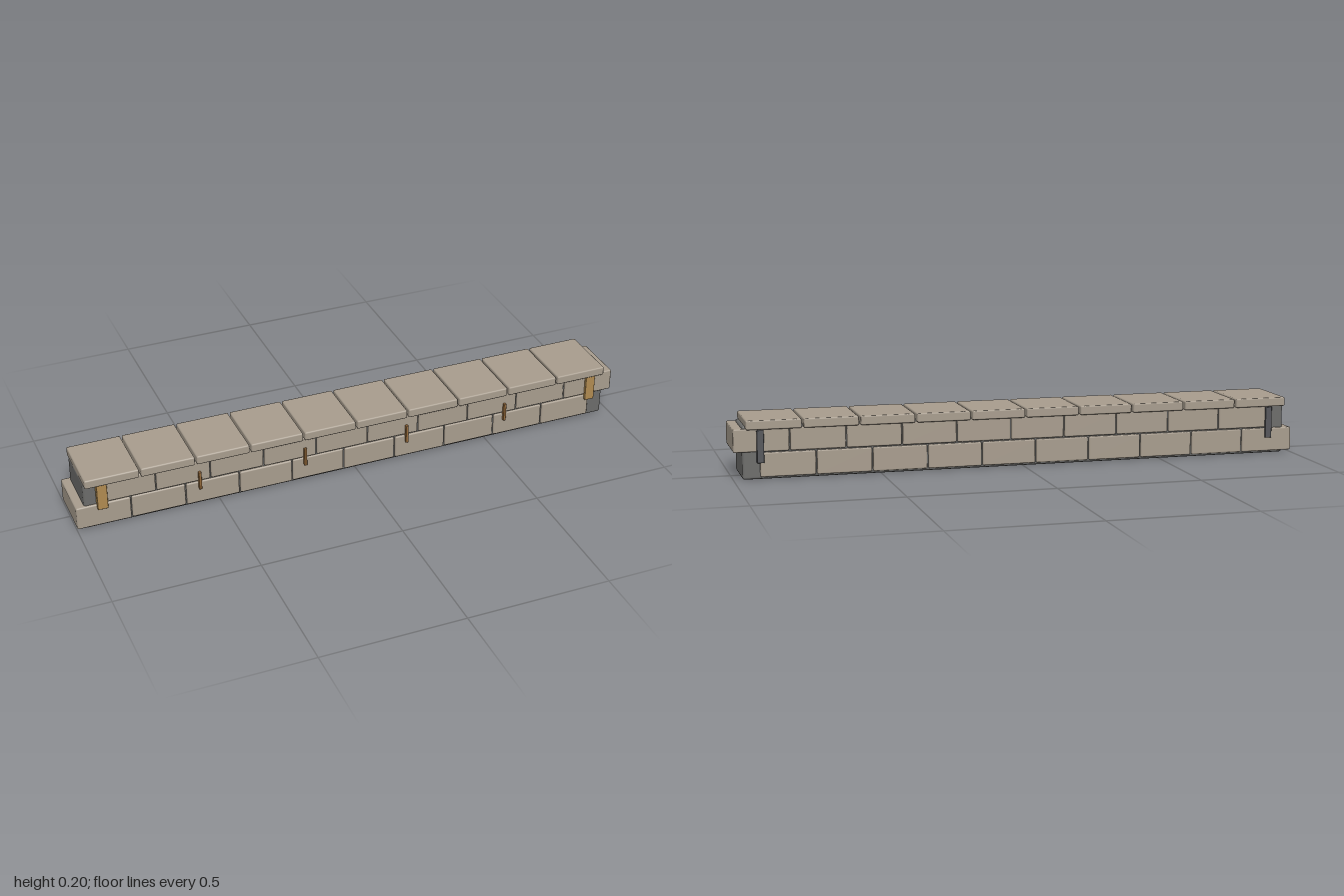
import * as THREE from 'three';
import { RoundedBoxGeometry } from 'three/addons/geometries/RoundedBoxGeometry.js';

const mat = (name, color) => {
  const m = new THREE.MeshStandardMaterial({ color });
  m.name = name;
  return m;
};

export function createModel() {
  const wall = new THREE.Group();
  wall.name = 'lowStoneWall';
  const stone = mat('warm stone', 0xa89d8e);
  const mortar = mat('dark mortar', 0x6c6c6a);
  const brass = mat('brass', 0xb08a50);
  const bronze = mat('bronze', 0x94693a);
  const iron = mat('dark iron', 0x55565a);

  // Bevelled block given by its extents
  const block = (name, material, x0, x1, y0, y1, z0, z1, bevel) => {
    const geo = new RoundedBoxGeometry(x1 - x0, y1 - y0, z1 - z0, 1, bevel);
    const mesh = new THREE.Mesh(geo, material);
    mesh.position.set((x0 + x1) / 2, (y0 + y1) / 2, (z0 + z1) / 2);
    mesh.name = name;
    wall.add(mesh);
  };

  // Recessed core, visible in the joints and at the stepped ends
  block('core', mortar, -0.97, 0.97, 0, 0.18, -0.089, 0.089, 0.008);

  // Two staggered courses of ten full-depth blocks and a row of coping slabs
  const pitch = 0.1915, gap = 0.004;
  for (let i = 0; i < 10; i++) {
    const inset = [0, 0.002, 0.001][i % 3];
    const lower = -1 + i * pitch;
    block('lowerBlock', stone, lower, lower + pitch - gap,
      0.008, 0.091, -0.097 + inset, 0.097 - inset, 0.005);
    const upper = 1 - (i + 1) * pitch;
    block('upperBlock', stone, upper + gap, upper + pitch,
      0.094, 0.173, -0.097 + inset, 0.097 - inset, 0.005);
    const cap = -0.968 + i * 0.1933;
    block('copingSlab', stone, cap, cap + 0.187, 0.171, 0.203, -0.113, 0.113, 0.005);
  }

  // End straps: brass in front, iron behind
  for (const s of [-1, 1]) {
    const x = s * 0.91;
    block('frontStrap', brass, x - 0.018, x + 0.018, 0.075, 0.173, 0.085, 0.107, 0.002);
    block('backStrap', iron, x - 0.012, x + 0.012, 0.057, 0.168, -0.104, -0.085, 0.002);
  }

  // Slim pins spaced along the front
  for (const x of [-0.57, -0.19, 0.19, 0.57]) {
    block('frontPin', bronze, x - 0.005, x + 0.005, 0.065, 0.133, 0.09, 0.106, 0.002);
  }
  return wall;
}
